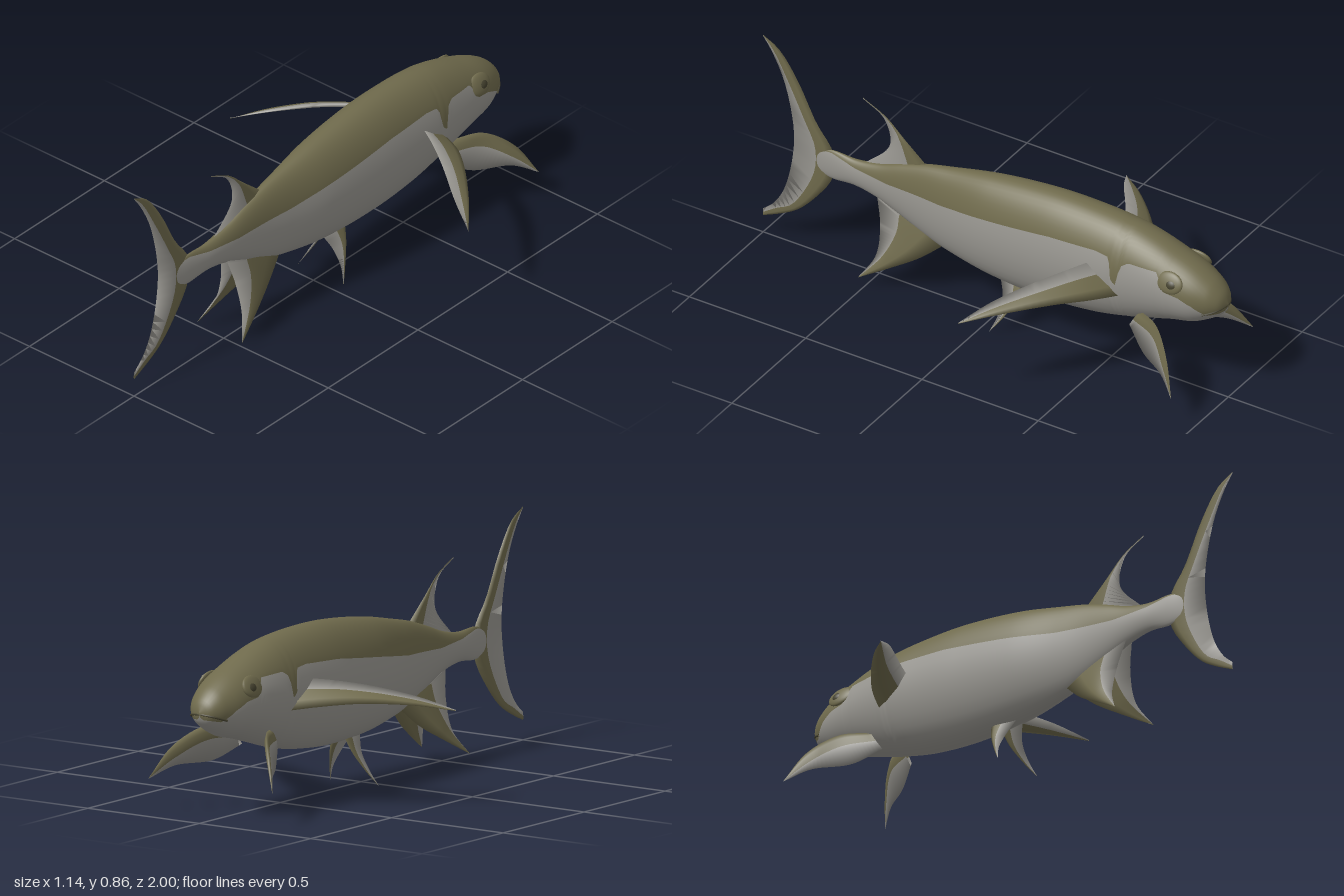
import * as THREE from 'three';

const mat = (name, color) => {
  const m = new THREE.MeshStandardMaterial({ color, side: THREE.DoubleSide });
  m.name = name;
  return m;
};

// Interpolates rows [z, a, b, ...] at z, linearly or with smooth tangents
function sample(rows, z, smooth) {
  let i = 0;
  while (i < rows.length - 2 && z > rows[i + 1][0]) i++;
  const p = rows[i], q = rows[i + 1], d = q[0] - p[0];
  const t = THREE.MathUtils.clamp((z - p[0]) / d, 0, 1);
  return p.slice(1).map((v, k) => {
    const a = v, b = q[k + 1];
    if (!smooth) return a + (b - a) * t;
    const slope = (j) => {
      const l = rows[Math.max(j - 1, 0)], r = rows[Math.min(j + 1, rows.length - 1)];
      return (r[k + 1] - l[k + 1]) / (r[0] - l[0]);
    };
    const t2 = t * t, t3 = t2 * t;
    return (2 * t3 - 3 * t2 + 1) * a + (t3 - 2 * t2 + t) * d * slope(i)
      + (3 * t2 - 2 * t3) * b + (t3 - t2) * d * slope(i + 1);
  });
}

// Skins closed rings of points; segments below `split` use material 0, the rest material 1
function skin(rings, split, materials, name) {
  const n = rings[0].length, pos = rings.flat(2), idx = [[], []];
  for (let i = 0; i < rings.length - 1; i++) {
    for (let j = 0; j < n; j++) {
      const a = i * n + j, b = i * n + (j + 1) % n, c = a + n, d = b + n;
      idx[split(j) ? 0 : 1].push(a, b, c, b, d, c);
    }
  }
  const g = new THREE.BufferGeometry();
  g.setAttribute('position', new THREE.Float32BufferAttribute(pos, 3));
  g.setIndex([...idx[0], ...idx[1]]);
  g.addGroup(0, idx[0].length, 0);
  g.addGroup(idx[0].length, idx[1].length, 1);
  g.computeVertexNormals();
  const mesh = new THREE.Mesh(g, materials);
  mesh.name = name;
  return mesh;
}

// Body stations: z, top, bottom, half width
const BODY = [
  [-1, 0.41, 0.4, 0], [-0.99, 0.442, 0.375, 0.035], [-0.97, 0.47, 0.355, 0.06],
  [-0.94, 0.497, 0.335, 0.08], [-0.88, 0.532, 0.305, 0.103], [-0.8, 0.565, 0.285, 0.115],
  [-0.7, 0.6, 0.255, 0.124], [-0.6, 0.624, 0.225, 0.13], [-0.45, 0.638, 0.192, 0.131],
  [-0.25, 0.639, 0.174, 0.126], [0, 0.613, 0.184, 0.106], [0.2, 0.573, 0.218, 0.07],
  [0.3, 0.55, 0.25, 0.053], [0.4, 0.518, 0.293, 0.041], [0.5, 0.482, 0.333, 0.032],
  [0.6, 0.464, 0.352, 0.025], [0.7, 0.468, 0.345, 0.015], [0.78, 0.45, 0.36, 0.003],
];
// Height where the dark back meets the pale belly, including the cheek patch
const BORDER = [
  [-1, 0.385], [-0.95, 0.375], [-0.9, 0.415], [-0.85, 0.44], [-0.79, 0.45], [-0.755, 0.515],
  [-0.64, 0.52], [-0.61, 0.5], [-0.595, 0.42], [-0.575, 0.43], [-0.56, 0.52], [-0.5, 0.527],
  [-0.3, 0.515], [0, 0.475], [0.2, 0.445], [0.45, 0.43], [0.6, 0.44], [0.7, 0.46], [0.78, 0.45],
];

function buildBody(materials) {
  const rings = [], half = 20, count = 160;
  for (let i = 0; i <= count; i++) {
    const z = -1 + 1.78 * Math.pow(i / count, 1.25);
    const [top, bot, w] = sample(BODY, z, true);
    const [yb] = sample(BORDER, z, false);
    const c = (top + bot) / 2, h = (top - bot) / 2;
    const a = Math.asin(THREE.MathUtils.clamp((yb - c) / Math.max(h, 1e-4), -0.97, 0.97));
    const ring = [];
    for (let j = 0; j < half * 2; j++) {
      const t = j < half ? a + (Math.PI - 2 * a) * j / half
        : Math.PI - a + (Math.PI + 2 * a) * (j - half) / half;
      ring.push([w * Math.cos(t), c + h * Math.sin(t), z]);
    }
    rings.push(ring);
  }
  return skin(rings, (j) => j < half, materials, 'body');
}

// Fin from its leading edge, colour border and trailing edge, each listed as [x, y, z]
function buildFin(name, lead, border, trail, thick, materials, side = 1) {
  const curves = [lead, border, trail].map((pts) => new THREE.CatmullRomCurve3(
    pts.map(([x, y, z]) => new THREE.Vector3(x * side, y, z))));
  const rings = [], steps = 28;
  for (let i = 0; i <= steps; i++) {
    const [l, m, r] = curves.map((c) => c.getPoint(i / steps));
    const along = curves[1].getTangent(i / steps);
    const n = r.clone().sub(l).cross(along).normalize();
    const t = thick * Math.min(1, l.distanceTo(r) / 0.1);
    const q = l.clone().lerp(m, 0.4);
    const at = (p, k) => p.clone().addScaledVector(n, k * t).toArray();
    rings.push([l.toArray(), at(q, 0.8), at(m, 0.7), r.toArray(), at(m, -0.7), at(q, -0.8)]);
  }
  return skin(rings, (j) => j < 2 || j > 3, materials, name);
}

const flat = (pts) => pts.map(([z, y]) => [0, y, z]);

export function createModel() {
  const olive = mat('olive back', 0x6f6a4c);
  const grey = mat('pale grey belly', 0x989690);
  const dark = mat('dark eye and mouth', 0x45422f);
  const two = [olive, grey];
  const model = new THREE.Group();
  model.name = 'fish';
  model.add(buildBody(two));

  // Upright fins on the centre line
  model.add(buildFin('tailFin',
    flat([[1, 0.865], [0.93, 0.825], [0.85, 0.715], [0.77, 0.56], [0.70, 0.46], [0.70, 0.35], [0.77, 0.24], [0.85, 0.155], [0.92, 0.112], [1, 0.075]]),
    flat([[1, 0.863], [0.955, 0.815], [0.89, 0.7], [0.82, 0.56], [0.775, 0.46], [0.775, 0.36], [0.82, 0.25], [0.88, 0.165], [0.94, 0.13], [1, 0.09]]),
    flat([[1, 0.86], [0.965, 0.81], [0.915, 0.71], [0.88, 0.58], [0.867, 0.47], [0.873, 0.38], [0.892, 0.28], [0.92, 0.2], [0.96, 0.14], [1, 0.105]]),
    0.007, two));
  model.add(buildFin('dorsalFin',
    flat([[0.57, 0.745], [0.47, 0.695], [0.39, 0.625], [0.29, 0.54]]),
    flat([[0.57, 0.743], [0.475, 0.693], [0.42, 0.635], [0.37, 0.51]]),
    flat([[0.57, 0.74], [0.48, 0.685], [0.455, 0.58], [0.57, 0.455]]),
    0.007, two));

  // Paired fins and eyes
  for (const s of [1, -1]) {
    const side = s > 0 ? 'left' : 'right';
    model.add(buildFin(side + 'PectoralFin',
      [[0.11, 0.37, -0.61], [0.22, 0.388, -0.55], [0.33, 0.397, -0.46], [0.47, 0.385, -0.32], [0.57, 0.358, -0.2]],
      [[0.11, 0.43, -0.52], [0.21, 0.435, -0.47], [0.32, 0.425, -0.40], [0.46, 0.395, -0.29], [0.57, 0.36, -0.2]],
      [[0.11, 0.472, -0.48], [0.2, 0.465, -0.43], [0.31, 0.447, -0.36], [0.45, 0.407, -0.265], [0.57, 0.362, -0.2]],
      0.012, two, s));
    model.add(buildFin(side + 'ForwardFin',
      [[0.085, 0.31, -0.68], [0.14, 0.312, -0.78], [0.215, 0.245, -0.87], [0.278, 0.128, -0.93]],
      [[0.085, 0.265, -0.65], [0.14, 0.26, -0.77], [0.215, 0.2, -0.86], [0.278, 0.127, -0.93]],
      [[0.08, 0.23, -0.625], [0.14, 0.178, -0.72], [0.22, 0.168, -0.85], [0.278, 0.125, -0.93]],
      0.01, two, s));
    model.add(buildFin(side + 'PelvicFin',
      [[0.025, 0.2, -0.145], [0.05, 0.135, -0.125], [0.08, 0.065, -0.085], [0.11, 0.002, -0.04]],
      [[0.02, 0.195, -0.095], [0.05, 0.13, -0.1], [0.08, 0.065, -0.077], [0.11, 0.002, -0.04]],
      [[0.015, 0.19, -0.03], [0.045, 0.125, -0.058], [0.08, 0.065, -0.06], [0.11, 0.002, -0.04]],
      0.006, two, s));
    model.add(buildFin(side + 'AnalFin',
      [[0.02, 0.24, 0.21], [0.045, 0.165, 0.3], [0.075, 0.105, 0.4], [0.108, 0.035, 0.525]],
      [[0.02, 0.305, 0.4], [0.04, 0.24, 0.4], [0.07, 0.14, 0.44], [0.108, 0.035, 0.525]],
      [[0.015, 0.345, 0.5], [0.035, 0.24, 0.475], [0.065, 0.125, 0.475], [0.108, 0.035, 0.525]],
      0.007, two, s));

    // Eye: low lid mound with a dark ball set in it
    const lid = new THREE.Mesh(new THREE.SphereGeometry(1, 24, 16), olive);
    lid.name = side + 'Eyelid';
    lid.scale.set(0.014, 0.042, 0.055);
    lid.position.set(s * 0.099, 0.49, -0.81);
    lid.rotation.z = s * 0.4;
    const eye = new THREE.Mesh(new THREE.SphereGeometry(1, 20, 14), dark);
    eye.name = side + 'Eye';
    eye.scale.set(0.012, 0.02, 0.024);
    eye.position.set(s * 0.105, 0.488, -0.82);
    eye.rotation.z = s * 0.4;
    model.add(lid, eye);
  }

  // Mouth line wrapped round the snout
  const mouthPath = new THREE.CatmullRomCurve3([
    [-0.079, 0.38, -0.935], [-0.058, 0.393, -0.97], [-0.034, 0.4, -0.988], [0, 0.403, -0.996],
    [0.034, 0.4, -0.988], [0.058, 0.393, -0.97], [0.079, 0.38, -0.935],
  ].map((p) => new THREE.Vector3(...p)));
  const mouth = new THREE.Mesh(new THREE.TubeGeometry(mouthPath, 32, 0.004, 6), dark);
  mouth.name = 'mouth';
  model.add(mouth);
  return model;
}
